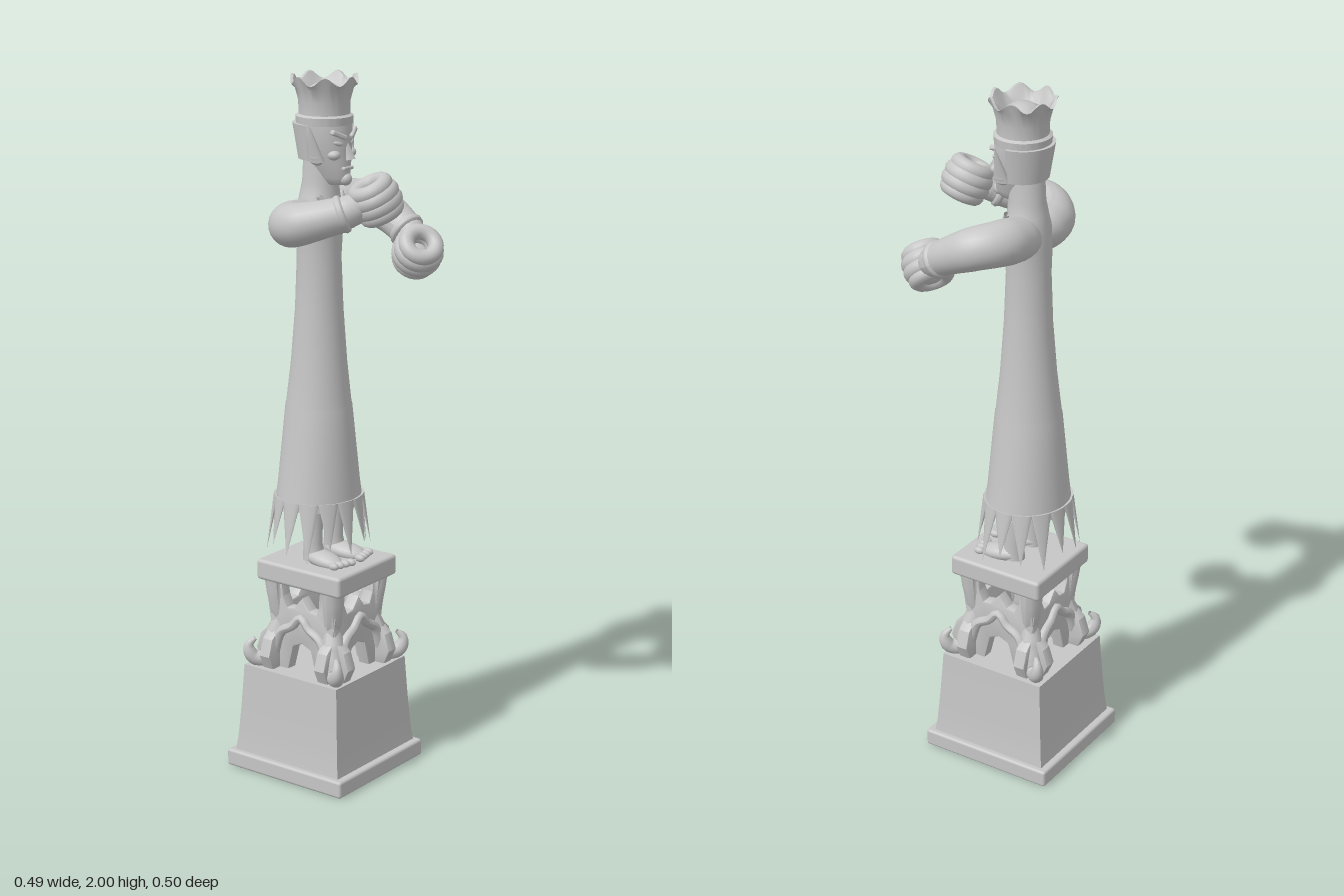
import * as THREE from 'three';
import { RoundedBoxGeometry } from 'three/addons/geometries/RoundedBoxGeometry.js';
import { toCreasedNormals } from 'three/addons/utils/BufferGeometryUtils.js';

export function createModel() {
  const root = new THREE.Group();
  const stone = new THREE.MeshStandardMaterial({ color: 0xc6c6c6, side: THREE.DoubleSide });
  stone.name = 'stone';
  const V = (a) => new THREE.Vector3(...a);

  function add(name, geo, pos = [0, 0, 0], rot = [0, 0, 0], scale = [1, 1, 1], parent = root) {
    const m = new THREE.Mesh(geo, stone);
    m.name = name;
    m.position.set(...pos);
    m.rotation.set(...rot);
    m.scale.set(...scale);
    parent.add(m);
  }

  // Stacked elliptical rings [y, centreZ, radiusX, radiusZ]
  function loft(rings, n = 40) {
    const p = [], idx = [];
    rings.forEach(([y, cz, rx, rz], j) => {
      for (let i = 0; i < n; i++) {
        const a = (i / n) * Math.PI * 2;
        p.push(Math.sin(a) * rx, y, cz + Math.cos(a) * rz);
        if (j < rings.length - 1) {
          const k = (i + 1) % n, b = j * n, t = b + n;
          idx.push(b + i, b + k, t + k, b + i, t + k, t + i);
        }
      }
    });
    const g = new THREE.BufferGeometry();
    g.setAttribute('position', new THREE.Float32BufferAttribute(p, 3));
    g.setIndex(idx);
    g.computeVertexNormals();
    return g;
  }

  // Tube along points whose thickness follows a list of radii
  function tube(points, radii, seg = 32, sides = 18) {
    const curve = new THREE.CatmullRomCurve3(points.map(V));
    const g = new THREE.TubeGeometry(curve, seg, 1, sides, false);
    const pos = g.attributes.position, v = new THREE.Vector3();
    for (let i = 0; i < pos.count; i++) {
      const t = Math.floor(i / (sides + 1)) / seg, c = curve.getPointAt(t);
      const f = t * (radii.length - 1), k = Math.min(Math.floor(f), radii.length - 2);
      const r = THREE.MathUtils.lerp(radii[k], radii[k + 1], f - k);
      v.fromBufferAttribute(pos, i).sub(c).multiplyScalar(r).add(c);
      pos.setXYZ(i, v.x, v.y, v.z);
    }
    g.computeVertexNormals();
    return g;
  }

  // Plinth with a tapered block
  const baseZ = -0.045;
  add('plinthFoot', new RoundedBoxGeometry(0.4, 0.05, 0.41, 2, 0.008), [0, 0.025, baseZ]);
  const block = new THREE.BoxGeometry(0.37, 0.27, 0.37, 1, 6, 1);
  const bp = block.attributes.position;
  for (let i = 0; i < bp.count; i++) {
    const t = THREE.MathUtils.clamp((bp.getY(i) + 0.135) / 0.27, 0, 1), s = 1 - 0.11 * Math.pow(t, 0.7);
    bp.setX(i, bp.getX(i) * s);
    bp.setZ(i, bp.getZ(i) * s);
  }
  add('plinthBlock', toCreasedNormals(block, 0.5), [0, 0.175, baseZ]);

  // Carved stand: four pierced panels and four corner scrolls
  const half = [[0.035, 0.385], [0.055, 0.305], [0.14, 0.305], [0.16, 0.35], [0.145, 0.395], [0.105, 0.43],
    [0.115, 0.49], [0.125, 0.57], [0.075, 0.57], [0.072, 0.525], [0.055, 0.49], [0.025, 0.495]];
  const panel = new THREE.Shape();
  panel.moveTo(0, 0.4);
  half.forEach(([x, y]) => panel.lineTo(x, y));
  panel.lineTo(0, 0.525);
  [...half].reverse().forEach(([x, y]) => panel.lineTo(-x, y));
  const panelGeo = toCreasedNormals(new THREE.ExtrudeGeometry(panel,
    { depth: 0.025, bevelEnabled: true, bevelSize: 0.005, bevelThickness: 0.006, bevelSegments: 2 }), 0.5);
  const stand = new THREE.Group();
  stand.name = 'carvedStand';
  stand.position.z = baseZ + 0.005;
  root.add(stand);
  for (let i = 0; i < 4; i++) {
    const side = new THREE.Group();
    side.name = 'standSide';
    side.rotation.y = i * Math.PI / 2;
    stand.add(side);
    add('piercedPanel', panelGeo, [0, 0, 0.085], [0, 0, 0], [1, 1, 1], side);
    add('archMoulding', tube([[-0.1, 0.35, 0.12], [-0.07, 0.42, 0.12], [-0.03, 0.445, 0.12], [0, 0.475, 0.12],
      [0.03, 0.445, 0.12], [0.07, 0.42, 0.12], [0.1, 0.35, 0.12]], [0.02, 0.014, 0.012, 0.014, 0.02], 28, 10),
    [0, 0, 0], [0, 0, 0], [1, 1, 1], side);
    add('lowerScroll', tube([[0.09, 0.45, 0.09], [0.105, 0.38, 0.105], [0.125, 0.33, 0.125], [0.15, 0.335, 0.15],
      [0.158, 0.37, 0.158], [0.145, 0.39, 0.145]], [0.025, 0.034, 0.032, 0.024, 0.019, 0.006], 28, 12),
    [0, 0, 0], [0, 0, 0], [1, 1, 1], side);
    add('upperScroll', tube([[0.085, 0.42, 0.085], [0.095, 0.48, 0.095], [0.1, 0.53, 0.1], [0.105, 0.58, 0.105]],
      [0.02, 0.026, 0.03, 0.03], 16, 12), [0, 0, 0], [0, 0, 0], [1, 1, 1], side);
  }
  add('standTop', new RoundedBoxGeometry(0.275, 0.06, 0.295, 2, 0.01), [0, 0.597, -0.038]);

  // Legs and bare feet
  for (const s of [-1, 1]) {
    add('leg', loft([[0.63, -0.045, 0.028, 0.036], [0.68, -0.05, 0.024, 0.028], [0.86, -0.06, 0.036, 0.04]], 20),
      [s * 0.048, 0, 0]);
    add('foot', new THREE.SphereGeometry(0.04, 20, 12), [s * 0.05, 0.638, -0.01], [0.12, s * 0.08, 0], [0.9, 0.62, 1.75]);
    for (let t = 0; t < 4; t++) {
      add('toe', new THREE.SphereGeometry(0.012, 10, 8), [s * (0.022 + t * 0.02), 0.637, 0.063 - t * 0.005],
        [0, 0, 0], [0.9, 0.9, 1.4]);
    }
  }

  // Long robe rising into torso and neck
  add('robe', loft([[0.79, -0.065, 0.13, 0.12], [0.86, -0.065, 0.119, 0.113], [1.0, -0.065, 0.1, 0.102],
    [1.078, -0.065, 0.091, 0.095], [1.082, -0.065, 0.089, 0.093], [1.2, -0.064, 0.076, 0.08],
    [1.35, -0.063, 0.066, 0.068], [1.5, -0.063, 0.061, 0.062], [1.58, -0.062, 0.07, 0.063],
    [1.63, -0.061, 0.07, 0.062], [1.67, -0.06, 0.055, 0.057], [1.71, -0.058, 0.046, 0.052],
    [1.8, -0.055, 0.045, 0.05]]));
  for (const s of [-1, 1]) {
    add('collarEdge', tube([[s * 0.05, 1.675, -0.025], [s * 0.03, 1.63, -0.004], [0, 1.57, 0]],
      [0.008, 0.008, 0.005], 12, 8));
  }

  // Ragged hem of hanging points
  const points = 14;
  for (let i = 0; i < points; i++) {
    const a = ((i + 0.5) / points) * Math.PI * 2, len = 0.135 + 0.018 * (i % 3);
    const pivot = new THREE.Group();
    pivot.name = 'hemPoint';
    pivot.position.set(Math.sin(a) * 0.126, 0.815, -0.065 + Math.cos(a) * 0.117);
    pivot.rotation.y = a;
    root.add(pivot);
    const cone = new THREE.ConeGeometry(0.03, len, 10, 4);
    cone.rotateX(Math.PI);
    cone.translate(0, -len / 2, 0);
    add('hemTip', cone, [0, 0, 0], [-0.17, 0, 0], [1, 1, 0.25], pivot);
  }

  // Sleeved arms with cuffs
  const sleeveR = [0.05, 0.06, 0.063, 0.061, 0.058, 0.052, 0.048];
  const arms = [
    { side: 'left', path: [[0.01, 1.605, -0.065], [0.08, 1.622, -0.07], [0.14, 1.63, -0.06], [0.184, 1.622, -0.015],
      [0.19, 1.595, 0.045], [0.18, 1.565, 0.1]],
    cuff: [[0.181, 1.568, 0.094], [0.1785, 1.56, 0.107], [0.176, 1.552, 0.12]],
    wrist: [0.158, 1.53, 0.15], hand: [0.14, 1.515, 0.17], axis: [-0.4, 0.68, 0.6] },
    { side: 'right', path: [[-0.01, 1.605, -0.065], [-0.08, 1.605, -0.068], [-0.14, 1.61, -0.05], [-0.186, 1.622, 0],
      [-0.17, 1.638, 0.06], [-0.137, 1.655, 0.115]],
    cuff: [[-0.142, 1.652, 0.107], [-0.1335, 1.6575, 0.1185], [-0.125, 1.663, 0.13]],
    wrist: [-0.09, 1.68, 0.16], hand: [-0.066, 1.692, 0.178], axis: [-0.35, 0.85, -0.25] },
  ];
  for (const arm of arms) {
    add(arm.side + 'Sleeve', tube(arm.path, sleeveR, 40, 24));
    add(arm.side + 'Cuff', tube(arm.cuff, [0.047, 0.053, 0.051, 0.03], 9, 24));
    add(arm.side + 'Wrist', tube([arm.cuff[0], arm.cuff[2], arm.wrist], [0.04, 0.045, 0.042, 0.03], 12, 16));
    // Curled fist: four fingers wrapped round a shallow hollow
    const fist = new THREE.Group();
    fist.name = arm.side + 'Fist';
    fist.position.copy(V(arm.hand));
    fist.quaternion.setFromUnitVectors(V([0, 0, 1]), V(arm.axis).normalize());
    root.add(fist);
    for (let f = 0; f < 4; f++) {
      const edge = f === 0 || f === 3;
      add('finger', new THREE.TorusGeometry(edge ? 0.042 : 0.046, edge ? 0.022 : 0.025, 12, 28),
        [0, 0, -0.036 + f * 0.024], [0, 0, 0], [1, 1, 1], fist);
    }
    add('palm', new THREE.SphereGeometry(0.045, 16, 12), [0, 0, -0.02], [0, 0, 0], [1, 1, 0.75], fist);
  }

  // Head with a narrow chin
  add('head', loft([[1.7, -0.02, 0.002, 0.002], [1.705, -0.015, 0.022, 0.04], [1.725, -0.018, 0.034, 0.055],
    [1.76, -0.025, 0.048, 0.062], [1.8, -0.033, 0.063, 0.068], [1.85, -0.038, 0.07, 0.074],
    [1.885, -0.042, 0.071, 0.072]], 32));
  add('nose', new THREE.ConeGeometry(0.017, 0.06, 4), [0, 1.805, 0.036], [-0.25, 0, 0], [0.9, 1, 1.1]);
  add('mouth', new RoundedBoxGeometry(0.042, 0.01, 0.014, 2, 0.004), [0, 1.752, 0.034]);
  add('chin', new THREE.SphereGeometry(0.018, 14, 10), [0, 1.722, 0.028]);
  for (const s of [-1, 1]) {
    add('brow', new RoundedBoxGeometry(0.05, 0.014, 0.02, 2, 0.005), [s * 0.03, 1.845, 0.027], [0, s * 0.4, s * 0.4]);
    add('eye', new THREE.SphereGeometry(0.012, 12, 8), [s * 0.028, 1.821, 0.024], [0, s * 0.4, s * 0.3], [1.4, 0.6, 0.7]);
    add('cheek', new THREE.SphereGeometry(0.02, 12, 8), [s * 0.035, 1.79, 0.014], [0, 0, 0], [0.9, 0.7, 1]);
    add('ear', new THREE.ConeGeometry(0.026, 0.105, 12), [s * 0.083, 1.825, -0.02], [0, 0, -s * 0.3], [0.5, 1, 1]);
    add('earLobe', new THREE.SphereGeometry(0.024, 12, 8), [s * 0.069, 1.783, -0.02], [0, 0, -s * 0.3], [0.55, 0.9, 1]);
  }
  add('hairBand', new THREE.CylinderGeometry(0.088, 0.072, 0.098, 32, 1, false, Math.PI / 2, Math.PI), [0, 1.822, -0.043]);

  // Flared crown with a scalloped rim and a domed cap inside
  const profile = [[0.05, 1.865], [0.077, 1.868], [0.079, 1.89], [0.07, 1.895], [0.071, 1.93], [0.08, 1.965],
    [0.092, 2], [0.084, 1.999], [0.068, 1.962], [0.058, 1.945], [0.045, 1.962], [0.025, 1.974], [0, 1.978]];
  const crown = new THREE.LatheGeometry(profile.map(([r, y]) => new THREE.Vector2(r, y)), 56);
  const cp = crown.attributes.position;
  for (let i = 0; i < cp.count; i++) {
    const x = cp.getX(i), z = cp.getZ(i), y = cp.getY(i);
    if (y > 1.99) cp.setY(i, y - 0.024 * (0.5 - 0.5 * Math.cos(7 * Math.atan2(x, z))));
  }
  add('crown', toCreasedNormals(crown, 0.7), [0, 0, -0.044]);

  return root;
}
